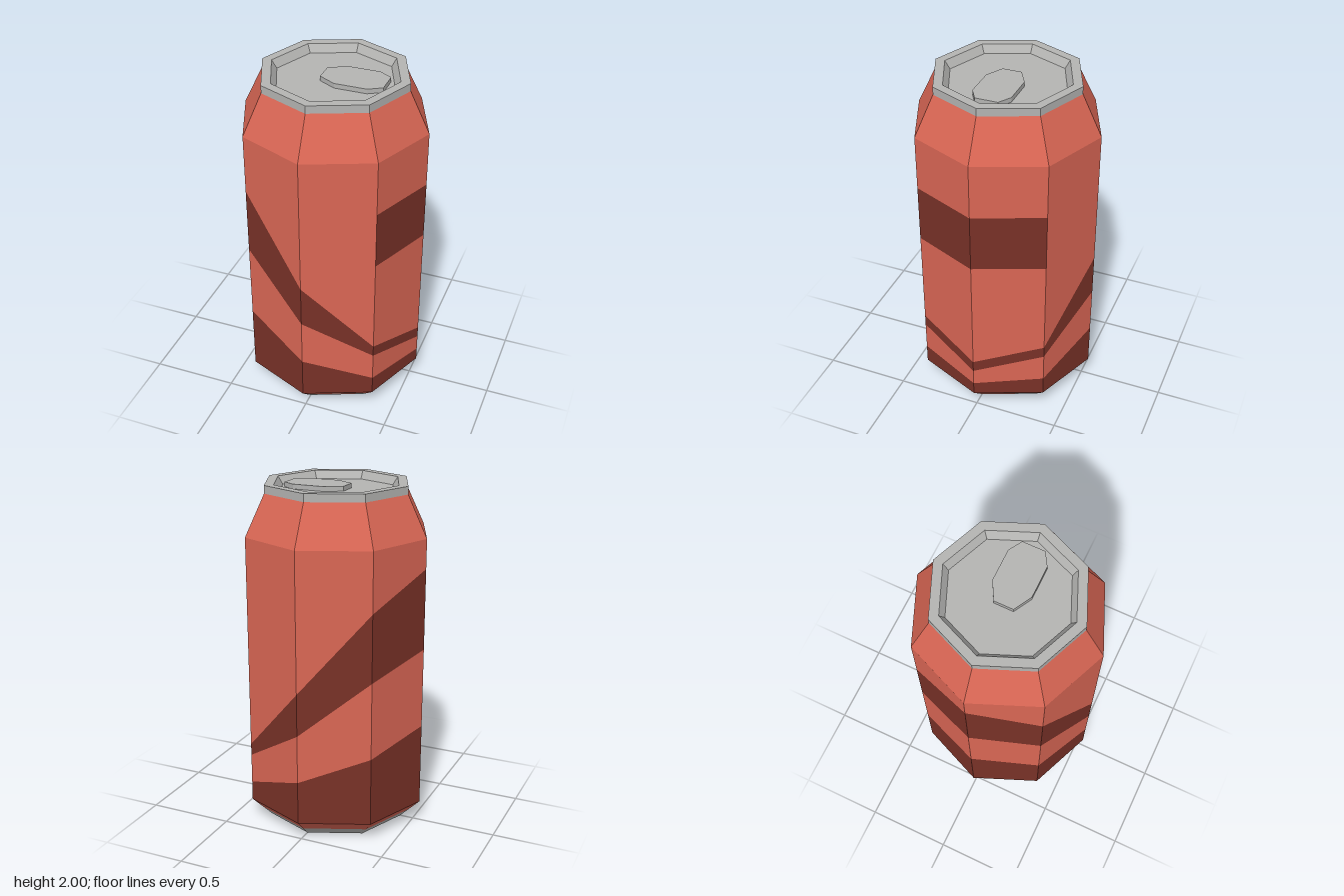
import * as THREE from 'three';

const SIDES = 8;
const RADIUS = 0.54;

// Faceted ring swept from a [radius, y] profile, listed from bottom to top on the outside
function facetedLathe(name, profile, material) {
  const points = profile.map(([r, y]) => new THREE.Vector2(r, y));
  const geometry = new THREE.LatheGeometry(points, SIDES).toNonIndexed();
  geometry.computeVertexNormals();
  const mesh = new THREE.Mesh(geometry, material);
  mesh.name = name;
  return mesh;
}

// Stripe boundaries at each corner, from the +x corner round to the -x corner
const STRIPES = [
  [0.20, 0.30, 0.37],
  [0.235, 0.41, 0.48],
  [0.375, 0.66, 0.91],
  [0.525, 0.98, 1.375],
  [0.61, 1.08, 1.55],
];

// Heights at one corner of a panel; panels beside +x also carry the label patch
function cornerLevels(corner, hasPatch) {
  const stripes = STRIPES[Math.min(corner, SIDES - corner)];
  return [0.12, ...stripes, ...(hasPatch ? [1.06, 1.40] : []), 1.72];
}

function createStripedWall(red, dark) {
  const parts = { red: [], dark: [] };
  const at = (corner, y) => {
    const a = (corner / SIDES) * Math.PI * 2;
    return [RADIUS * Math.cos(a), y, RADIUS * Math.sin(a)];
  };
  for (let i = 0; i < SIDES; i++) {
    const hasPatch = i === 0 || i === SIDES - 1;
    const l = cornerLevels(i, hasPatch);
    const r = cornerLevels(i + 1, hasPatch);
    // Bands alternate dark and red from the bottom up
    for (let k = 0; k < l.length - 1; k++) {
      const a = at(i, l[k]), b = at(i + 1, r[k]);
      const c = at(i + 1, r[k + 1]), d = at(i, l[k + 1]);
      parts[k % 2 ? 'red' : 'dark'].push(...a, ...c, ...b, ...a, ...d, ...c);
    }
  }
  const wall = new THREE.Group();
  wall.name = 'canWall';
  for (const [key, name, material] of [['red', 'wallPanels', red], ['dark', 'wallStripes', dark]]) {
    const geometry = new THREE.BufferGeometry();
    geometry.setAttribute('position', new THREE.Float32BufferAttribute(parts[key], 3));
    geometry.computeVertexNormals();
    const mesh = new THREE.Mesh(geometry, material);
    mesh.name = name;
    wall.add(mesh);
  }
  return wall;
}

// Pull tab: flat elongated octagon lying on the lid
function createTab(metal) {
  const outline = [
    [-0.065, -0.055], [0.035, -0.11], [0.22, -0.11], [0.295, -0.065],
    [0.295, 0.065], [0.22, 0.11], [0.035, 0.11], [-0.065, 0.055],
  ].map(([x, y]) => new THREE.Vector2(x, y));
  const geometry = new THREE.ExtrudeGeometry(new THREE.Shape(outline), { depth: 0.027, bevelEnabled: false });
  geometry.rotateX(-Math.PI / 2);
  const tab = new THREE.Mesh(geometry, metal);
  tab.name = 'pullTab';
  tab.position.y = 1.955;
  return tab;
}

export function createModel() {
  const red = new THREE.MeshStandardMaterial({ color: 0xd96654 });
  const dark = new THREE.MeshStandardMaterial({ color: 0x783127 });
  const metal = new THREE.MeshStandardMaterial({ color: 0xb4b4b2 });
  red.name = 'red paint';
  dark.name = 'dark red paint';
  metal.name = 'bare metal';

  const can = new THREE.Group();
  can.name = 'drinkCan';
  can.add(
    facetedLathe('base', [[0, 0.06], [0.26, 0.06], [0.42, 0], [0.475, 0.055]], metal),
    facetedLathe('lowerBevel', [[0.475, 0.055], [RADIUS, 0.12]], red),
    createStripedWall(red, dark),
    facetedLathe('shoulder', [[RADIUS, 1.72], [0.425, 1.955]], red),
    facetedLathe('lid', [[0.425, 1.955], [0.425, 2], [0.37, 2], [0.34, 1.955], [0, 1.955]], metal),
    createTab(metal),
  );
  return can;
}
